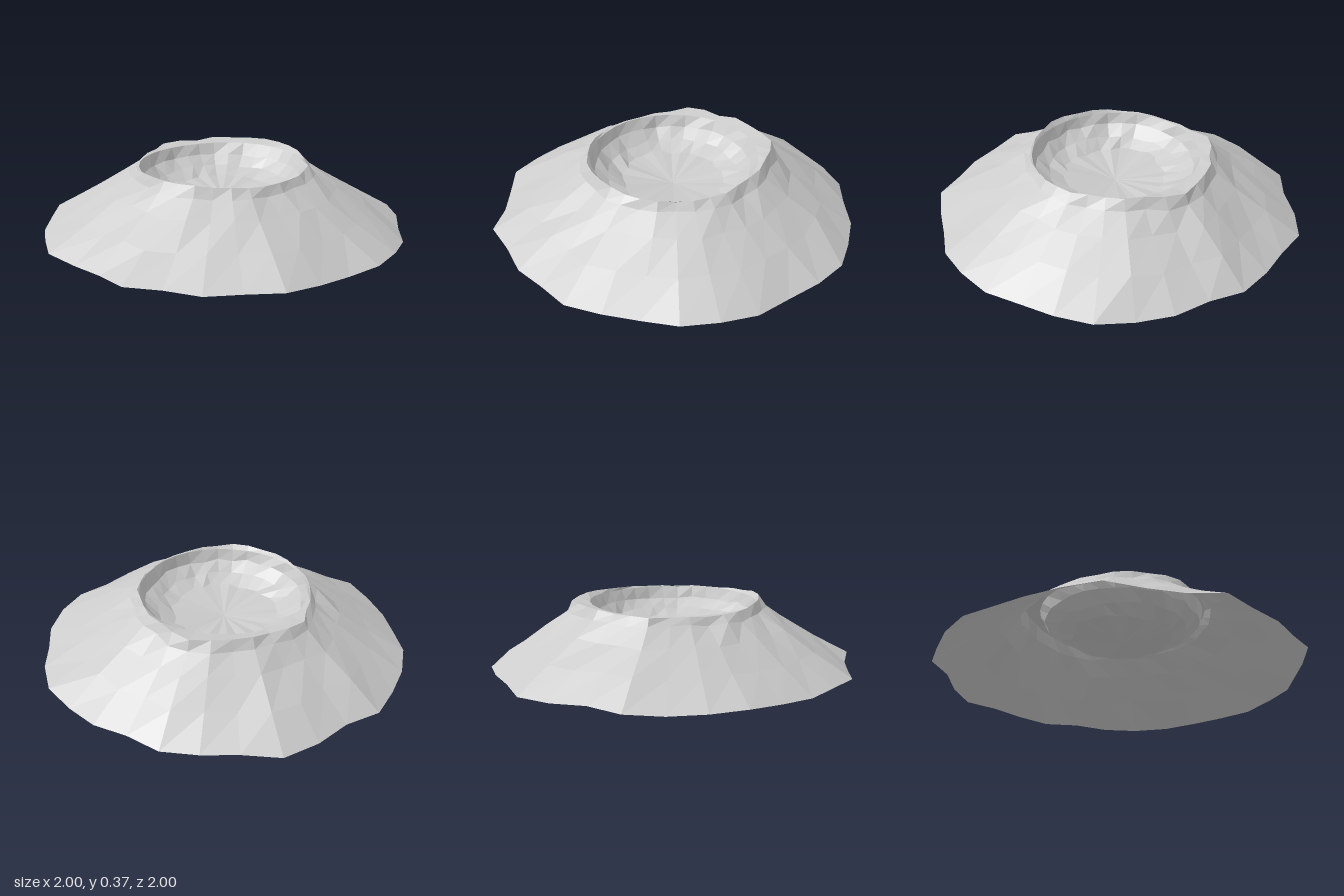
import * as THREE from 'three';

const N = 32; // radial segments, starting at the back (-z) and turning towards +x

// Outer foot and crest radii by direction
const FOOT = [1, .967, .99, .995, 1.02, 1, .975, 1, 1, .997, .96, .97, 1, .96, .97, .957,
  1, .94, .95, 1, .975, .975, .97, .997, 1, .998, 1.02, .97, 1, 1.03, .985, .99];
const CREST = [.56, .53, .5, .49, .47, .46, .47, .46, .46, .45, .46, .46, .46, .46, .46, .47,
  .47, .46, .46, .46, .46, .47, .47, .47, .48, .49, .54, .53, .51, .53, .53, .54];

function seeded(seed) {
  let s = seed;
  return () => {
    s = (s * 16807) % 2147483647;
    return (s / 2147483647) * 2 - 1;
  };
}

// Skin rings of [radius, height] pairs into one open surface
function skin(name, rings, material) {
  const pos = [], idx = [];
  for (const ring of rings) {
    for (let i = 0; i < N; i++) {
      const a = (i / N) * Math.PI * 2;
      const [r, y] = ring(i, a);
      pos.push(r * Math.sin(a), y, -r * Math.cos(a));
    }
  }
  for (let k = 0; k < rings.length - 1; k++) {
    for (let i = 0; i < N; i++) {
      const j = (i + 1) % N;
      const a = k * N + i, b = k * N + j, c = a + N, d = b + N;
      idx.push(a, c, b, b, c, d);
    }
  }
  const geo = new THREE.BufferGeometry();
  geo.setAttribute('position', new THREE.Float32BufferAttribute(pos, 3));
  geo.setIndex(idx);
  geo.computeVertexNormals();
  const mesh = new THREE.Mesh(geo, material);
  mesh.name = name;
  return mesh;
}

export function createModel() {
  const group = new THREE.Group();
  group.name = 'crater';
  const material = new THREE.MeshStandardMaterial({
    color: 0xcccccc, flatShading: true, side: THREE.DoubleSide,
  });
  const rnd = seeded(41);

  // Shared edges between slope, rim and bowl
  const crestY = Array.from({ length: N }, (_, i) =>
    .355 + .01 * Math.cos((i / N) * Math.PI * 4) + .006 * rnd());
  const crest = (i) => [CREST[i], crestY[i]];
  const lip = (i, a) => [.455 + .008 * Math.cos(a), .345 + .003 * Math.cos(3 * a)];

  // Outer slope: interpolates from foot to crest, slightly uneven
  const slopeRing = (t, y) => (i) => [
    THREE.MathUtils.lerp(CREST[i], FOOT[i], t) + .012 * rnd(), y + .008 * rnd(),
  ];
  group.add(skin('outerSlope', [
    (i) => [FOOT[i], .007 + .007 * Math.sin(i * 1.7)],
    slopeRing(.62, .125),
    slopeRing(.3, .23),
    slopeRing(.07, .305),
    crest,
  ], material));

  // Flat rim around the opening
  group.add(skin('rim', [crest, lip], material));

  // Bowl: short steep wall, then a shallow uneven floor
  const bowlRing = (r, y, dr, dy) => () => [r + dr * rnd(), y + dy * rnd()];
  group.add(skin('bowl', [
    lip,
    bowlRing(.425, .285, .008, .008),
    bowlRing(.36, .235, .012, .008),
    bowlRing(.28, .2, .018, .008),
    () => [0, .165],
  ], material));

  return group;
}
